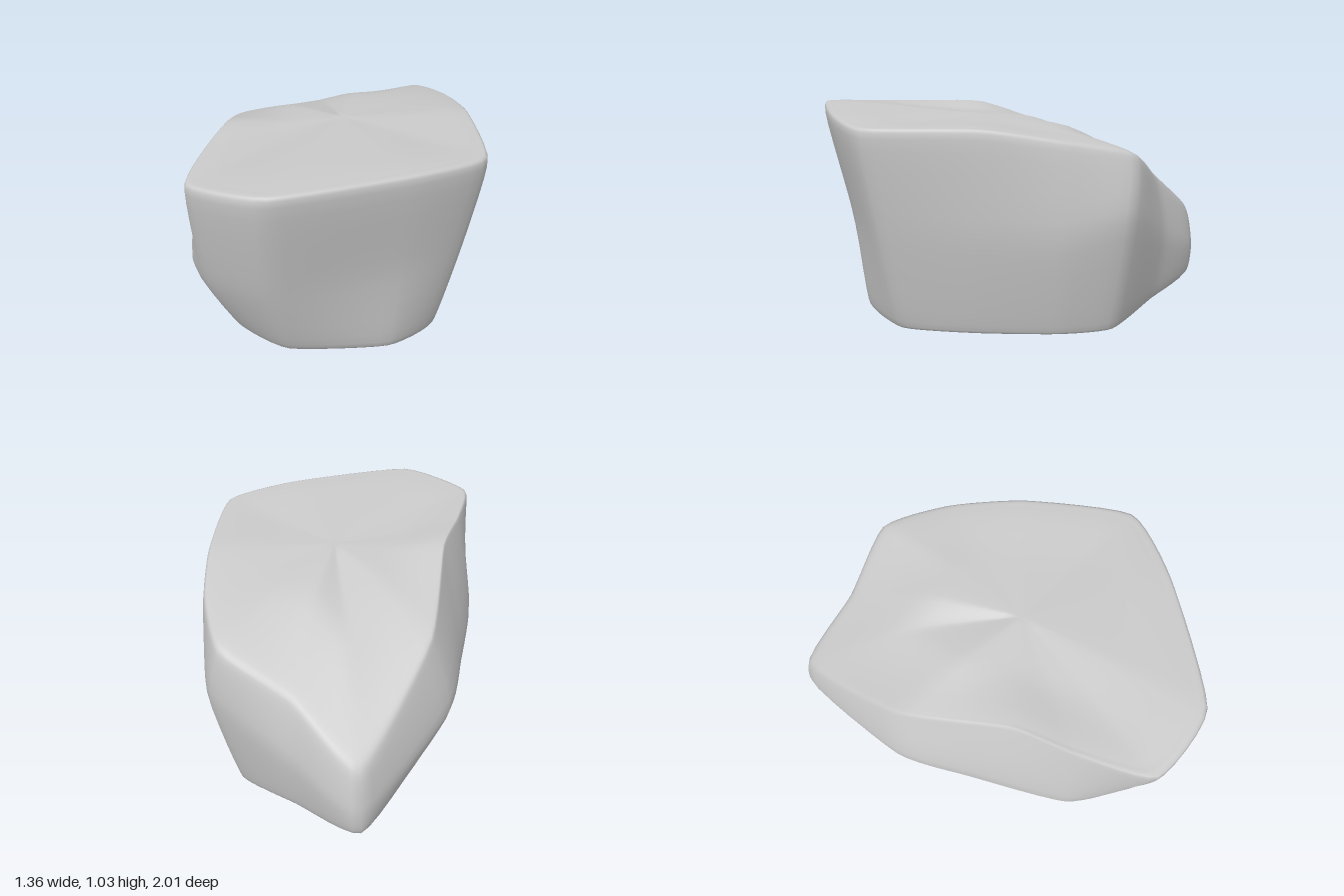
import * as THREE from 'three';

// Each outline runs clockwise seen from above, starting at the back tip.
const base = [ // x, z of the underside rim
  [-0.25, -0.99], [0.09, -0.8], [0.4, -0.61], [0.49, -0.35], [0.52, 0.05], [0.5, 0.42],
  [0.27, 0.64], [-0.21, 0.75], [-0.46, 0.61], [-0.55, 0.4], [-0.49, 0], [-0.46, -0.48],
];
const waist = [ // x, y, z half way up
  [-0.25, 0.28, -1], [0.1, 0.4, -0.845], [0.49, 0.56, -0.675], [0.59, 0.5, -0.38],
  [0.62, 0.5, 0.05], [0.6, 0.5, 0.48], [0.31, 0.5, 0.68], [-0.25, 0.5, 0.88],
  [-0.56, 0.46, 0.73], [-0.675, 0.43, 0.47], [-0.645, 0.43, -0.02], [-0.6, 0.42, -0.41],
];
const rim = [ // x, y, z of the upper edge
  [-0.24, 0.48, -0.97], [0.1, 0.69, -0.8], [0.44, 0.845, -0.69], [0.58, 0.91, -0.38],
  [0.65, 0.965, 0], [0.675, 0.965, 0.53], [0.36, 0.985, 0.76], [-0.25, 0.995, 1.0],
  [-0.6, 0.965, 0.83], [-0.585, 0.97, 0.48], [-0.525, 0.97, 0.15], [-0.505, 0.785, -0.4],
];
// Swell of the top half way in from the rim, strongest above the back tip
const swell = [0.13, 0.1, 0.04, 0.02, 0.01, 0.01, 0.015, 0.02, 0.01, 0, 0, 0.06];

const bottomCentre = new THREE.Vector3(0, 0.05, -0.1);
const topCentre = new THREE.Vector3(0.03, 0.995, 0.1);

// Tilted underside, curling up at the back tip and the low left flank
const floorY = (x, z) =>
  0.055 - 0.11 * x + 0.06 * Math.max(0, -0.6 - z) + 0.4 * Math.max(0, -0.46 - x);

// Move a point part of the way toward a centre and lift it
function inset(p, centre, amount, lift) {
  const q = p.clone().lerp(centre, amount);
  q.y += lift;
  return q;
}

// Vertical profile of one side: underside, wall, rounded rim, top
function profile(i) {
  const [bx, bz] = base[i];
  const b = new THREE.Vector3(bx, floorY(bx, bz), bz);
  const r = new THREE.Vector3(...rim[i]);
  return [
    bottomCentre,
    inset(b, bottomCentre, 0.5, 0),
    inset(b, bottomCentre, 0.09, 0),
    inset(b, bottomCentre, 0, 0.04),
    new THREE.Vector3(...waist[i]),
    inset(r, topCentre, 0, -0.02),
    inset(r, topCentre, 0.08, 0.025 + swell[i] * 0.1),
    inset(r, topCentre, 0.5, swell[i]),
    topCentre,
  ];
}

// Low tension keeps flat faces between softened corners
const softCurve = (points, closed, tension) =>
  new THREE.CatmullRomCurve3(points, closed, 'catmullrom', tension);

function boulderGeometry(around, perSpan) {
  const profiles = base.map((_, i) => profile(i));
  const levels = profiles[0].length;
  const rows = (levels - 1) * perSpan;
  const loops = profiles[0].map((_, l) => softCurve(profiles.map((p) => p[l]), true, 0.28));

  // Soft rise from loop to loop
  const positions = [];
  for (let i = 0; i < around; i++) {
    const rise = softCurve(loops.map((loop) => loop.getPoint(i / around)), false, 0.38);
    for (let j = 0; j <= rows; j++) positions.push(...rise.getPoint(j / rows).toArray());
  }

  const index = [];
  for (let i = 0; i < around; i++) {
    for (let j = 0; j < rows; j++) {
      const a = i * (rows + 1) + j;
      const b = ((i + 1) % around) * (rows + 1) + j;
      if (j < rows - 1) index.push(a, a + 1, b + 1);
      if (j > 0) index.push(a, b + 1, b);
    }
  }

  const geometry = new THREE.BufferGeometry();
  geometry.setAttribute('position', new THREE.Float32BufferAttribute(positions, 3));
  geometry.setIndex(index);
  geometry.computeVertexNormals();

  // One shared normal at each pole
  const normals = geometry.attributes.normal;
  for (let i = 0; i < around; i++) {
    normals.setXYZ(i * (rows + 1), 0, -1, 0);
    normals.setXYZ(i * (rows + 1) + rows, 0, 1, 0);
  }
  return geometry;
}

export function createModel() {
  const group = new THREE.Group();
  group.name = 'rock';
  const boulder = new THREE.Mesh(
    boulderGeometry(72, 5),
    new THREE.MeshStandardMaterial({ color: 0xcccccc }),
  );
  boulder.name = 'boulder';

  // Stand on the ground, centred
  boulder.geometry.computeBoundingBox();
  const box = boulder.geometry.boundingBox;
  const centre = box.getCenter(new THREE.Vector3());
  boulder.geometry.translate(-centre.x, -box.min.y, -centre.z);
  group.add(boulder);
  return group;
}
